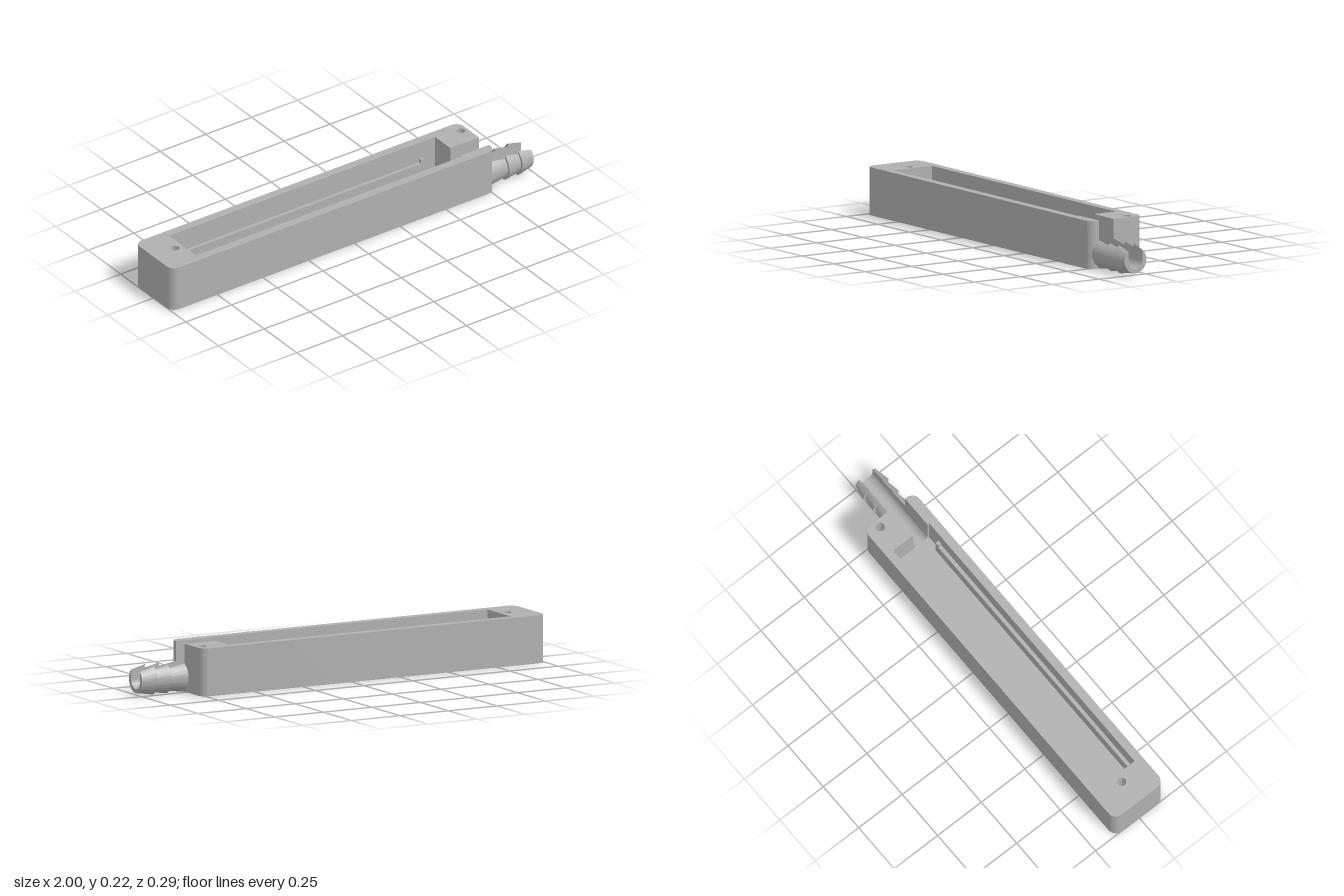
import * as THREE from 'three';
import { toCreasedNormals } from 'three/addons/utils/BufferGeometryUtils.js';

const END = 0.77, W = 0.143, H = 0.217, R = 0.04;   // body extents and corner radius
const FLOOR = 0.027, CAV = 0.103;                   // base thickness, half width of cavity
const AX_Y = 0.066, AX_Z = 0.054, BORE = 0.039;     // hose channel axis and radius

export function createModel() {
  const group = new THREE.Group();
  const grey = new THREE.MeshStandardMaterial({ color: 0xb0b0b0 });
  grey.name = 'grey plastic';

  const add = (name, geometry) => {
    const mesh = new THREE.Mesh(geometry, grey);
    mesh.name = name;
    group.add(mesh);
  };
  const block = (name, x0, x1, y0, y1, z0, z1) => {
    const g = new THREE.BoxGeometry(x1 - x0, y1 - y0, z1 - z0);
    add(name, g.translate((x0 + x1) / 2, (y0 + y1) / 2, (z0 + z1) / 2));
  };
  // plan shapes use (x, -z) and are extruded upward
  const extrudeUp = (shape, y0, y1) => {
    const g = new THREE.ExtrudeGeometry(shape, { depth: y1 - y0, bevelEnabled: false, curveSegments: 16 });
    return toCreasedNormals(g.rotateX(-Math.PI / 2).translate(0, y0, 0), 0.5);
  };
  // rounded outline, counter-clockwise from the +x end
  const outline = (startY) => {
    const s = new THREE.Shape();
    s.moveTo(END, startY);
    s.lineTo(END, W - R);
    s.absarc(END - R, W - R, R, 0, Math.PI / 2);
    s.absarc(-1 + R, W - R, R, Math.PI / 2, Math.PI);
    s.absarc(-1 + R, -W + R, R, Math.PI, Math.PI * 1.5);
    s.absarc(END - R, -W + R, R, Math.PI * 1.5, Math.PI * 2);
    return s;
  };

  // base plate
  add('base', extrudeUp(outline(0), 0, FLOOR));

  // walls around the long cavity, open at the hose channel, with two screw holes
  const walls = outline(-AX_Z + BORE);
  const inner = [[END, -AX_Z - BORE], [0.613, -AX_Z - BORE], [0.613, -CAV], [-0.84, -CAV],
    [-0.84, CAV], [0.613, CAV], [0.613, -AX_Z + BORE]];
  inner.forEach(([x, y]) => walls.lineTo(x, y));
  for (const [x, y] of [[-0.88, 0.003], [0.735, 0.078]]) {
    const hole = new THREE.Path();
    hole.absarc(x, y, 0.02, 0, Math.PI * 2, true);
    walls.holes.push(hole);
  }
  add('walls', extrudeUp(walls, FLOOR, H));

  // cavity floor, side ledges and the small stop at the end of each ledge
  block('cavityFloor', -0.84, 0.613, FLOOR, 0.035, -CAV, CAV);
  for (const side of [-1, 1]) {
    const z = [side * 0.086, side * CAV].sort((a, b) => a - b);
    block('ledge', -0.84, 0.526, 0.035, 0.115, ...z);
    block('ledgeStop', 0.526, 0.545, 0.035, 0.135, ...z);
  }

  // rounded bottom of the channel through the end wall
  const bed = new THREE.Shape();
  bed.moveTo(-BORE, AX_Y);
  bed.lineTo(-BORE, FLOOR - 0.002);
  bed.lineTo(BORE, FLOOR - 0.002);
  bed.lineTo(BORE, AX_Y);
  bed.absarc(0, AX_Y, BORE, 0, -Math.PI, true);
  const bedGeo = new THREE.ExtrudeGeometry(bed, { depth: END - 0.613, bevelEnabled: false, curveSegments: 32 });
  add('channelBed', toCreasedNormals(bedGeo.rotateY(Math.PI / 2).translate(0.613, 0, AX_Z), 0.5));

  add('barbedNozzle', nozzleGeometry());
  return group;
}

// U-shaped barbed spout: sections lofted along x, flattened where they reach the ground
function nozzleGeometry() {
  const N = 48, pos = [];
  const stations = [[0.755, 0.0735], [END, 0.0735], [0.857, 0.061], [0.857, 0.0735],
    [0.928, 0.061], [0.928, 0.0735], [1, 0.0585]];

  const sections = stations.map(([x, r]) => {
    const phi = Math.acos(BORE / r), outer = [], inner = [];
    const point = (z, y) => [x, Math.max(0, AX_Y + y), AX_Z + z];
    for (let i = 0; i <= N; i++) {
      const a = phi - (Math.PI + 2 * phi) * i / N;
      outer.push(point(r * Math.cos(a), r * Math.sin(a)));
      if (i === 0 || i === N) {
        inner.push(point(i ? -BORE : BORE, r * Math.sin(phi)));
      } else {
        const b = -Math.PI * (i - 1) / (N - 2);
        inner.push(point(BORE * Math.cos(b), BORE * Math.sin(b)));
      }
    }
    return { outer, inner, loop: [...outer, ...inner.slice().reverse()] };
  });

  const quad = (a, b, c, d) => pos.push(...a, ...b, ...d, ...b, ...c, ...d);
  for (let s = 0; s < sections.length - 1; s++) {
    const p = sections[s].loop, q = sections[s + 1].loop;
    for (let i = 0; i < p.length; i++) {
      const j = (i + 1) % p.length;
      quad(p[i], p[j], q[j], q[i]);
    }
  }
  // end face of the tip
  const tip = sections[sections.length - 1];
  for (let i = 0; i < N; i++) quad(tip.outer[i], tip.outer[i + 1], tip.inner[i + 1], tip.inner[i]);

  const g = new THREE.BufferGeometry();
  g.setAttribute('position', new THREE.Float32BufferAttribute(pos, 3));
  return toCreasedNormals(g, 0.5);
}
